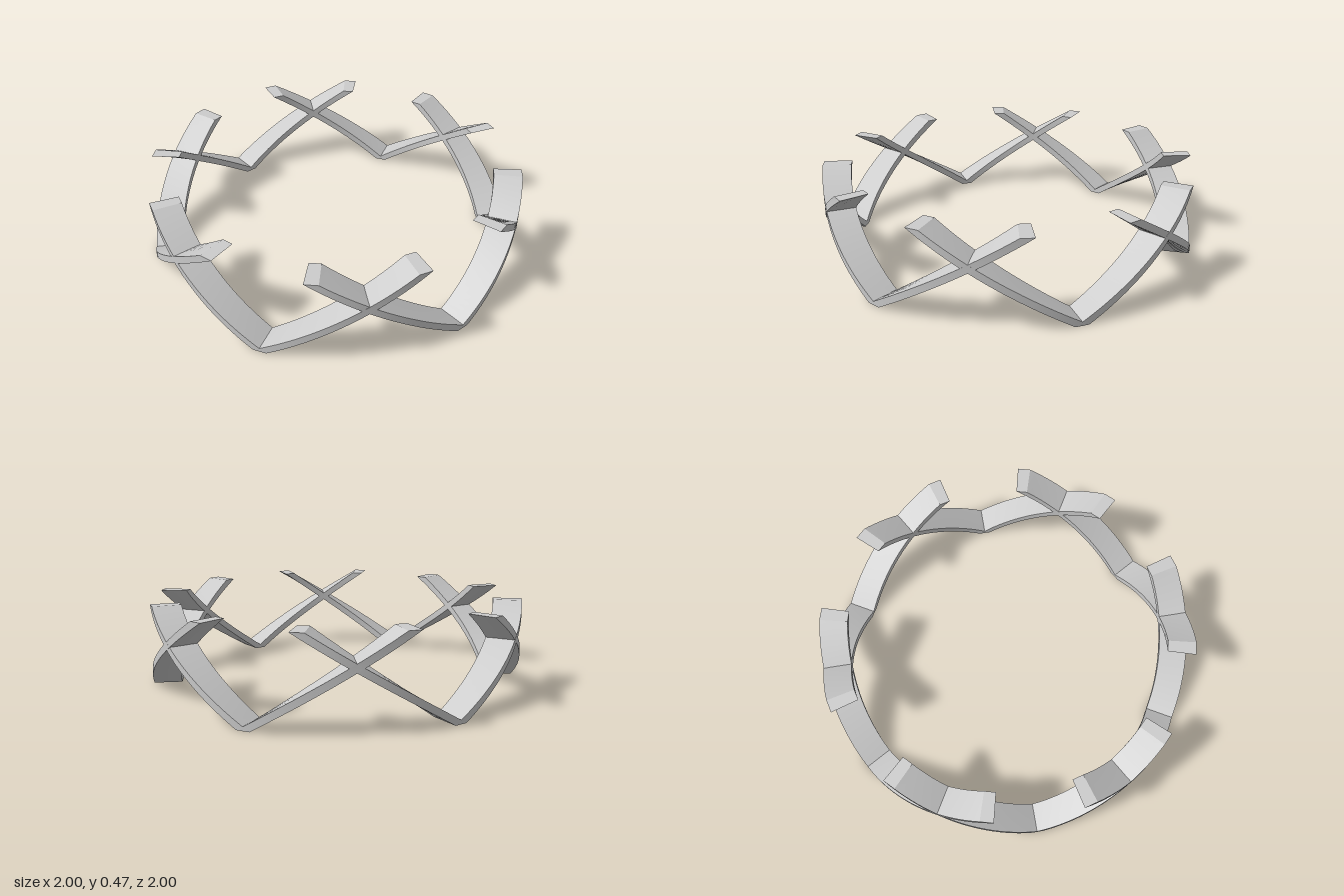
import * as THREE from 'three';
import { toCreasedNormals } from 'three/addons/utils/BufferGeometryUtils.js';

const INNER = 0.85, OUTER = 1, HEIGHT = 0.47;
const STEPS = 24;              // cross-sections per arm
const SLOPE = HEIGHT / 45;     // rise per degree around the ring
const HALF = 2;                // half width of the band, in degrees

// Point on the ring: angle in degrees from +z towards +x
function ringPoint(deg, y, r) {
  const a = THREE.MathUtils.degToRad(deg);
  return [r * Math.sin(a), y, r * Math.cos(a)];
}

// Slanted cross-section: lower inner, lower outer, upper outer, upper inner
function section(j) {
  const side = Math.sign(j);
  const climb = j === 0 ? 0 : ((Math.abs(j) - 1) / STEPS) * (45 - HALF);
  const k = climb / (45 - HALF);
  const low = side * (HALF + 45 * k), lowY = HEIGHT * k;
  const up = side * climb, upY = SLOPE * (climb + HALF);
  return [
    ringPoint(low, lowY, INNER), ringPoint(low, lowY, OUTER),
    ringPoint(up, upY, OUTER), ringPoint(up, upY, INNER),
  ];
}

// V-shaped band wrapped around the ring, with a small flat foot
function bandGeometry() {
  const pos = [];
  const quad = (a, b, c, d) => pos.push(...a, ...b, ...c, ...a, ...c, ...d);
  const last = STEPS + 1;
  for (let j = -last; j < last; j++) {
    const s = section(j), t = section(j + 1);
    for (let c = 0; c < 4; c++) {
      const d = (c + 1) % 4;
      // the upper edges of the two middle sections coincide
      if (c === 2 && (j === -1 || j === 0)) continue;
      quad(s[c], t[c], t[d], s[d]);
    }
  }
  // flat tips of both arms
  const a = section(-last), b = section(last);
  quad(a[0], a[1], a[2], a[3]);
  quad(b[1], b[0], b[3], b[2]);
  const geo = new THREE.BufferGeometry();
  geo.setAttribute('position', new THREE.Float32BufferAttribute(pos, 3));
  return toCreasedNormals(geo, Math.PI / 6);
}

export function createModel() {
  const group = new THREE.Group();
  group.name = 'latticeRing';
  const grey = new THREE.MeshStandardMaterial({ color: 0xcccccc });
  grey.name = 'light grey';
  const geo = bandGeometry();
  // six bands, each crossing its neighbours
  for (let i = 0; i < 6; i++) {
    const band = new THREE.Mesh(geo, grey);
    band.name = `vBand${i + 1}`;
    band.rotation.y = Math.PI / 6 + (i * Math.PI) / 3;
    group.add(band);
  }
  return group;
}
